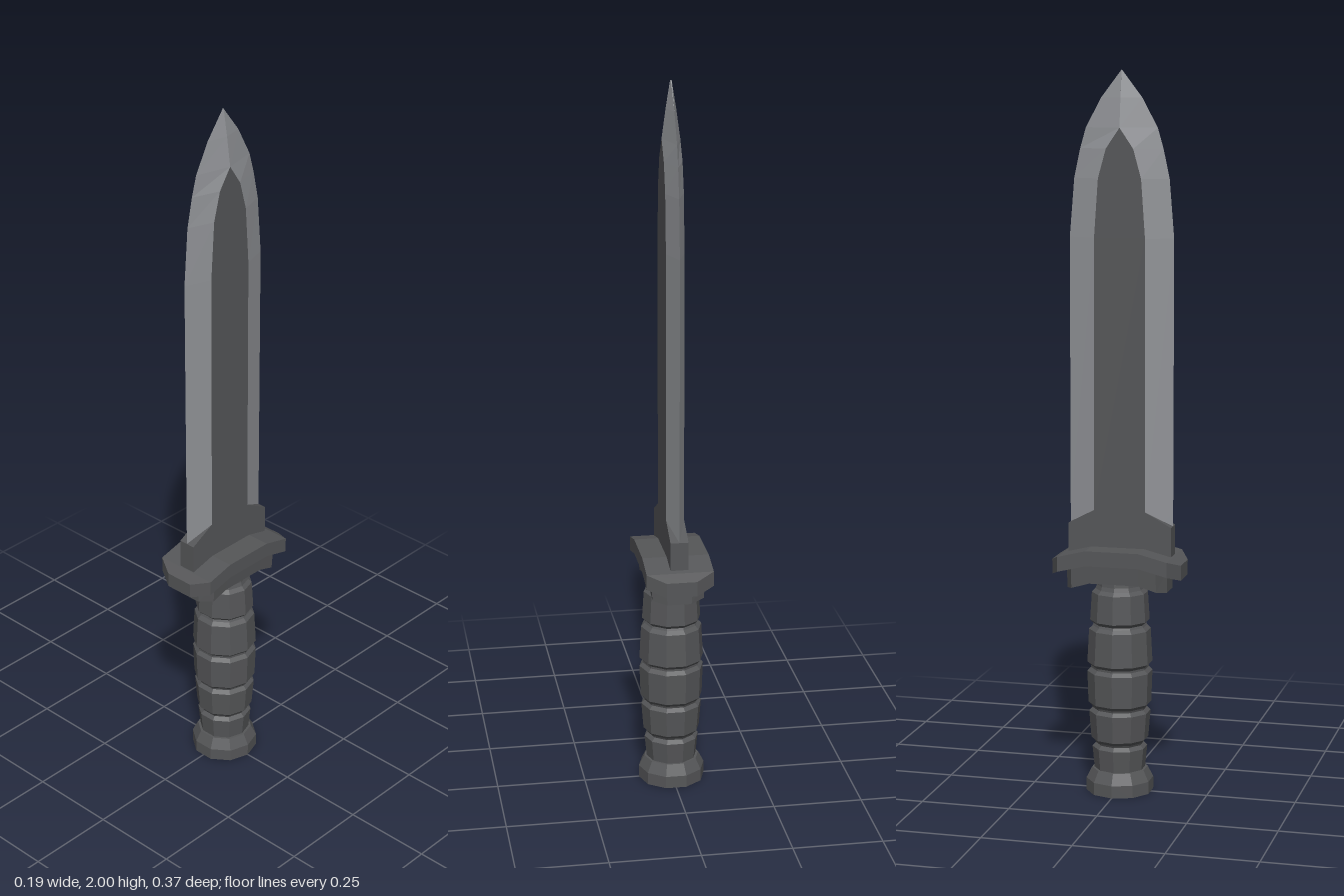
import * as THREE from 'three';

const dark = new THREE.MeshStandardMaterial({ color: 0x555658, flatShading: true });
const steel = new THREE.MeshStandardMaterial({ color: 0x909296, flatShading: true });
const BLADE_Z = 0.005;

// Flat-shaded geometry from quads, each four [x, y, z] corners counter-clockwise
function quadGeometry(quads) {
  const pos = quads.flatMap(([a, b, c, d]) => [...a, ...b, ...c, ...a, ...c, ...d]);
  const g = new THREE.BufferGeometry();
  g.setAttribute('position', new THREE.Float32BufferAttribute(pos, 3));
  g.computeVertexNormals();
  return g;
}

function add(group, name, geometry, material = dark) {
  const mesh = new THREE.Mesh(geometry, material);
  mesh.name = name;
  group.add(mesh);
  return mesh;
}

// Drooping plate: stations along z are [z, half width, top y]
function plateGeometry(half, thickness, taper = 1) {
  const stations = [...half.map(([z, w, y]) => [-z, w, y]), ...half.slice().reverse()];
  const rings = stations.map(([z, w, y]) => [
    [-w * taper, y - thickness, z], [w * taper, y - thickness, z], [w, y, z], [-w, y, z],
  ]);
  const quads = [];
  for (let i = 0; i < rings.length - 1; i++) {
    for (let k = 0; k < 4; k++) {
      const n = (k + 1) % 4;
      quads.push([rings[i][n], rings[i + 1][n], rings[i + 1][k], rings[i][k]]);
    }
  }
  quads.push(rings[rings.length - 1], rings[0].slice().reverse());
  return quadGeometry(quads);
}

// Ten-sided turned part, with a corner on the x axis
function turned(points) {
  return new THREE.LatheGeometry(points.map(([r, y]) => new THREE.Vector2(r, y)), 10, Math.PI / 2);
}

export function createModel() {
  const group = new THREE.Group();

  // Blade rows: [y, half width, half width of the flat, half thickness]
  const rows = [
    [0.72, 0.146, 0.072, 0.025], [0.8, 0.146, 0.072, 0.025], [1.55, 0.146, 0.071, 0.025],
    [1.71, 0.133, 0.06, 0.025], [1.79, 0.116, 0.038, 0.025], [1.846, 0.1, 0, 0.025],
    [1.926, 0.057, 0, 0.014], [2, 0, 0, 0.002],
  ];
  const flats = [], bevels = [];
  for (let i = 0; i < rows.length - 1; i++) {
    const [y0, w0, f0, t0] = rows[i];
    const [y1, w1, f1, t1] = rows[i + 1];
    for (const sx of [1, -1]) {
      if (i > 0 && f0 > 0) {
        const q = [[sx * t0, y0, f0], [sx * t0, y0, -f0], [sx * t1, y1, -f1], [sx * t1, y1, f1]];
        flats.push(sx > 0 ? q : q.reverse());
      }
      for (const sz of [1, -1]) {
        const q = [[sx * t0, y0, sz * f0], [0, y0, sz * w0], [0, y1, sz * w1], [sx * t1, y1, sz * f1]];
        bevels.push(sx * sz > 0 ? q.reverse() : q);
      }
    }
  }
  add(group, 'bladeFlats', quadGeometry(flats)).position.z = BLADE_Z;
  add(group, 'bladeBevels', quadGeometry(bevels), steel).position.z = BLADE_Z;

  // Block at the blade root, with sloped shoulders
  const root = new THREE.Shape([
    [-0.146, 0.64], [0.146, 0.64], [0.146, 0.76], [0.072, 0.8], [-0.072, 0.8], [-0.146, 0.76],
  ].map(([a, b]) => new THREE.Vector2(a, b)));
  const rootGeometry = new THREE.ExtrudeGeometry(root, { depth: 0.05, bevelEnabled: false });
  rootGeometry.translate(0, 0, -0.025).rotateY(Math.PI / 2);
  add(group, 'bladeRoot', rootGeometry).position.z = BLADE_Z;

  // Guard and the smaller collar beneath it
  add(group, 'guard', plateGeometry(
    [[0.183, 0.042, 0.66], [0.155, 0.093, 0.677], [0.075, 0.093, 0.697]], 0.042));
  add(group, 'guardCollar', plateGeometry(
    [[0.142, 0.036, 0.638], [0.12, 0.076, 0.645], [0.07, 0.076, 0.66]], 0.058, 0.94));

  // Grip: swelling segments between narrow grooves
  const segments = [
    [0.06, 0.133, 0.071, 0.077], [0.147, 0.235, 0.08, 0.086], [0.249, 0.35, 0.088, 0.091],
    [0.364, 0.47, 0.091, 0.086], [0.484, 0.575, 0.083, 0.078],
  ];
  const grip = [];
  for (const [y0, y1, r0, r1] of segments) {
    grip.push([r0 - 0.01, y0 - 0.004], [r0, y0 + 0.006], [r1, y1 - 0.006], [r1 - 0.01, y1 + 0.004]);
  }
  grip.push([0.064, 0.59], [0.06, 0.63]);
  add(group, 'grip', turned(grip));

  // Flared pommel
  add(group, 'pommel', turned([[0, 0], [0.094, 0], [0.094, 0.035], [0.078, 0.066], [0, 0.066]]));

  return group;
}
